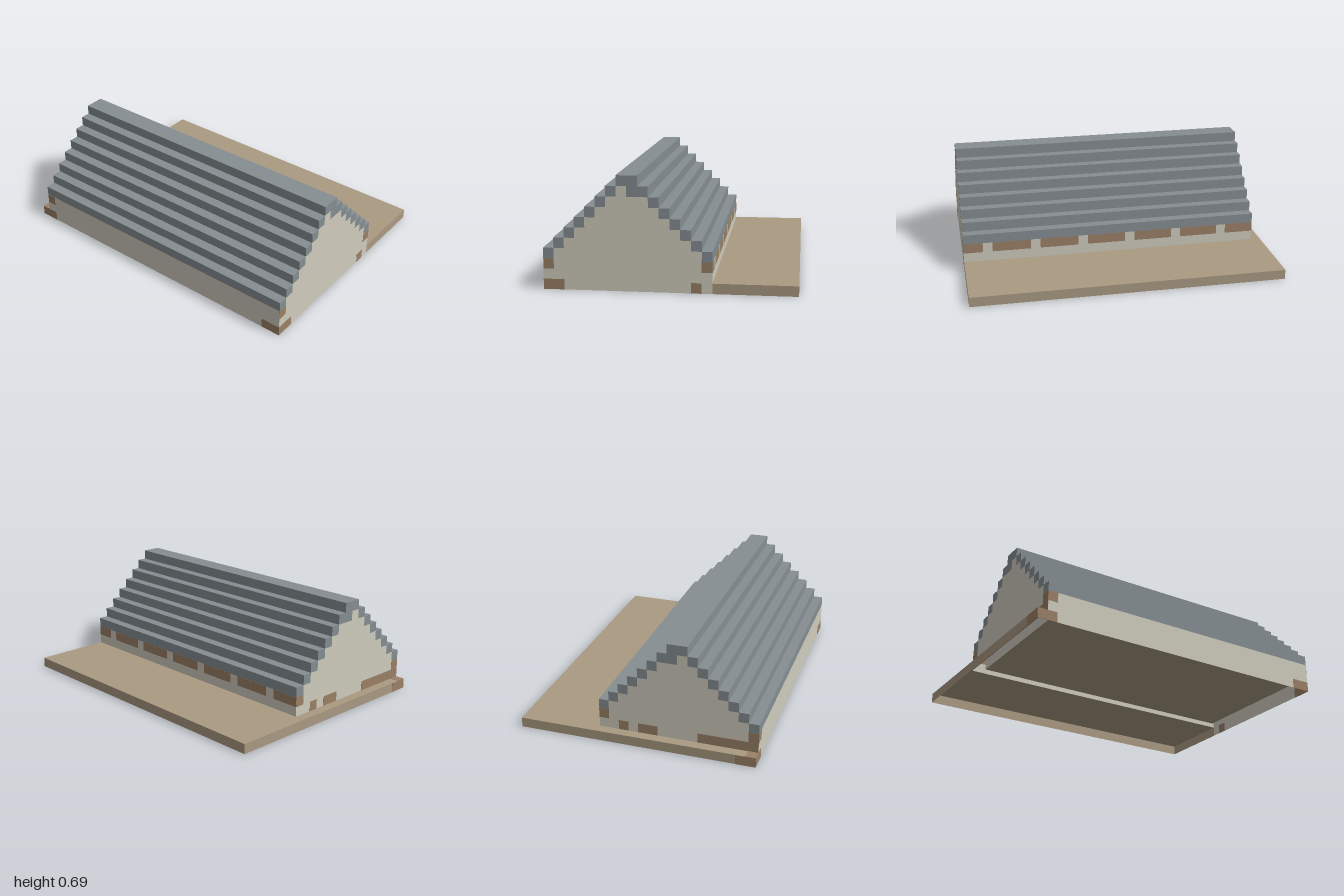
import * as THREE from 'three';

const U = 1 / 16; // one block
const X0 = -12;   // block column 0 starts at x = -0.75

export function createModel() {
  const model = new THREE.Group();
  const mat = (color) => new THREE.MeshStandardMaterial({ color, side: THREE.DoubleSide });
  const roofMat = mat(0x868e93), plaster = mat(0xd0ccbe), timber = mat(0x9b8167), earth = mat(0xaa9a82);

  const group = (name) => {
    const g = new THREE.Group();
    g.name = name;
    model.add(g);
    return g;
  };
  const add = (name, geometry, material, parent) => {
    const mesh = new THREE.Mesh(geometry, material);
    mesh.name = name;
    parent.add(mesh);
  };

  // Flat panel at a position on one axis. Ranges are in blocks:
  // x: a = z, b = y;  y: a = x, b = z;  z: a = x, b = y
  const panel = (name, axis, at, a0, a1, b0, b1, material, parent) => {
    const g = new THREE.PlaneGeometry((a1 - a0) * U, (b1 - b0) * U);
    const a = (a0 + a1) / 2, b = (b0 + b1) / 2;
    if (axis === 'x') g.rotateY(at > 8 ? Math.PI / 2 : -Math.PI / 2).translate((at + X0) * U, b * U, a * U);
    if (axis === 'y') g.rotateX(-Math.PI / 2).translate((a + X0) * U, at * U, b * U);
    if (axis === 'z') g.rotateY(at > 0 ? 0 : Math.PI).translate((a + X0) * U, b * U, at * U);
    add(name, g, material, parent);
  };

  // Yard: a shallow tray, open below, beside and behind the house
  const yard = group('yard');
  panel('yardTop', 'y', 1, 16, 24, -16, 16, earth, yard);
  panel('yardBackStrip', 'y', 1, 0, 16, -16, -15, earth, yard);
  panel('yardRightEdge', 'x', 24, -16, 16, 0, 1, earth, yard);
  panel('yardLeftEdge', 'x', 0, -16, -15, 0, 1, earth, yard);
  panel('yardBackEdge', 'z', -16, 0, 24, 0, 1, earth, yard);
  panel('yardFrontEdge', 'z', 16, 16, 24, 0, 1, earth, yard);

  // Height of the wall top and of the inner ceiling in each block column
  const wallTop = (i) => 3 + Math.min(i, 15 - i);
  const ceiling = (i) => (i === 8 ? 9 : wallTop(i));

  // Stepped gable sheet over columns i0 to i1
  const gable = (name, z, i0, i1, y0, parent) => {
    const s = new THREE.Shape();
    s.moveTo((i0 + X0) * U, y0 * U);
    for (let i = i0; i < i1; i++) {
      s.lineTo((i + X0) * U, ceiling(i) * U);
      s.lineTo((i + 1 + X0) * U, ceiling(i) * U);
    }
    s.lineTo((i1 + X0) * U, y0 * U);
    add(name, new THREE.ShapeGeometry(s).translate(0, 0, z * U), plaster, parent);
  };

  // Outer walls
  const walls = group('outerWalls');
  gable('frontGable', 16, 0, 16, 0, walls);
  gable('backGable', -15, 0, 16, 1, walls);
  panel('leftWall', 'x', 0, -15, 16, 0, 3, plaster, walls);
  panel('rightWall', 'x', 16, -15, 16, 1, 3, plaster, walls);

  // Hollow room, one block inside the outer walls
  const room = group('room');
  panel('floor', 'y', 1, 1, 15, -14, 15, earth, room);
  gable('innerFrontGable', 15, 1, 15, 1, room);
  gable('innerBackGable', -14, 1, 15, 1, room);
  for (const x of [1, 15]) panel('innerSideWall', 'x', x, -14, 15, 1, 3, plaster, room);
  for (let i = 1; i < 15; i++) panel('ceilingStep', 'y', ceiling(i), i, i + 1, -14, 15, roofMat, room);
  for (let i = 1; i < 16; i++) {
    const [low, high] = [ceiling(i - 1), ceiling(i)].sort((a, b) => a - b);
    if (high > low) panel('ceilingRiser', 'x', i, -14, 15, low, high, roofMat, room);
  }

  // Roof: one tread, riser and pair of ends per column
  const roof = group('roof');
  for (let i = 0; i < 16; i++) {
    const h = wallTop(i);
    panel('roofTread', 'y', h + 1, i, i + 1, -15, 16, roofMat, roof);
    panel('roofRiser', 'x', i < 8 ? i : i + 1, -15, 16, h, h + 1, roofMat, roof);
    for (const z of [16, -15]) panel('roofEnd', 'z', z, i, i + 1, ceiling(i), h + 1, roofMat, roof);
  }

  // Timber insets: thin slabs showing on both faces of a wall
  const timbers = group('timbers');
  const inset = (name, x0, x1, y0, y1, z0, z1) => {
    const t = 0.03;
    const size = [x1 - x0, y1 - y0, z1 - z0].map((d) => (d || t) * U);
    const g = new THREE.BoxGeometry(...size);
    g.translate(((x0 + x1) / 2 + X0) * U, ((y0 + y1) / 2) * U, ((z0 + z1) / 2) * U);
    add(name, g, timber, timbers);
  };

  // Row between plaster posts on the yard side
  let from = 16;
  for (const post of [13, 8, 3, -2, -7, -12, -16]) {
    inset('sideTimber', 16, 16, 2, 3, Math.max(post + 1, -15), from);
    from = post;
  }

  // Ends under the eaves on both gables
  for (const z of [16, -15])
    for (const x of [0, 15]) inset('eaveTimberEnd', x, x + 1, 2, 3, z, z);
  inset('backLeftPost', 0, 0, 2, 3, -15, -14);

  // Blocks along the foot of the walls
  for (const [a, b] of [[0, 2], [14, 15]]) inset('frontFootTimber', a, b, 0, 1, 16, 16);
  for (const [a, b] of [[0, 6], [10, 12], [13, 14]]) inset('backFootTimber', a, b, 1, 2, -15, -15);
  for (const z of [14, -16]) inset('leftFootTimber', 0, 0, 0, 1, z, z + 2);
  inset('backCornerTimber', 0, 2, 0, 1, -16, -16);
  inset('backCornerTimberTop', 0, 1, 1, 1, -16, -15);

  return model;
}
